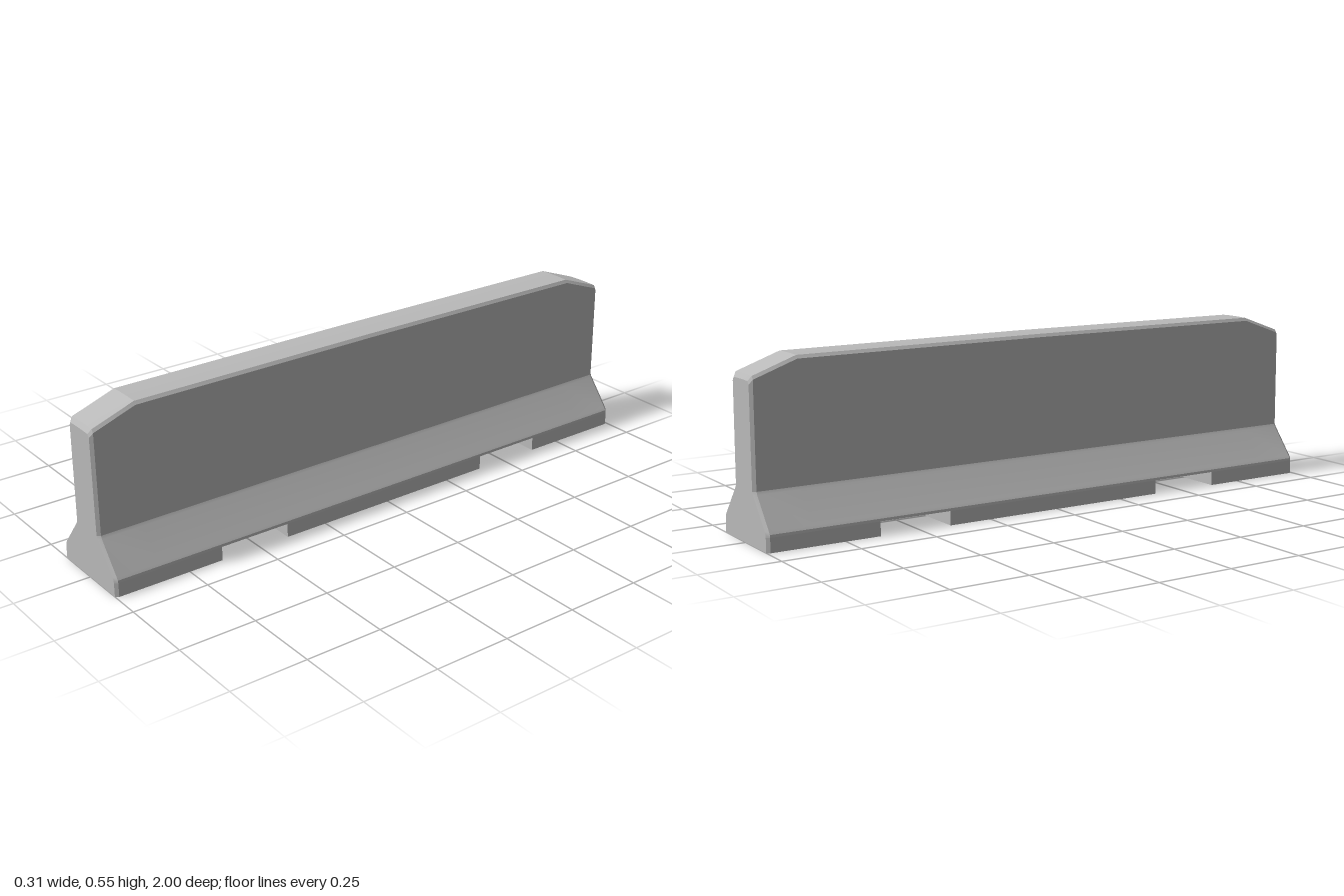
import * as THREE from 'three';
import { toCreasedNormals } from 'three/addons/utils/BufferGeometryUtils.js';

const FOOT = 0.045; // height of the drainage slots

// Mirrors a right-hand half outline (bottom to top) into a closed one, counter-clockwise
function mirrored(half) {
  return [...half, ...half.map(([x, y]) => [-x, y]).reverse()];
}

// Skins closed outlines placed along z (back to front) and caps both ends
function loft(stations) {
  const n = stations[0].points.length;
  const positions = [];
  const index = [];
  for (const { z, points } of stations) for (const [x, y] of points) positions.push(x, y, z);
  for (let i = 0; i < stations.length - 1; i++) {
    for (let j = 0; j < n; j++) {
      const k = (j + 1) % n;
      const a = i * n + j, b = i * n + k, c = b + n, d = a + n;
      index.push(a, b, c, a, c, d);
    }
  }
  const cap = (s, offset, flip) => {
    const contour = stations[s].points.map(([x, y]) => new THREE.Vector2(x, y));
    for (const [a, b, c] of THREE.ShapeUtils.triangulateShape(contour, [])) {
      if (flip) index.push(offset + a, offset + c, offset + b);
      else index.push(offset + a, offset + b, offset + c);
    }
  };
  cap(0, 0, true);
  cap(stations.length - 1, (stations.length - 1) * n, false);
  const geometry = new THREE.BufferGeometry();
  geometry.setAttribute('position', new THREE.Float32BufferAttribute(positions, 3));
  geometry.setIndex(index);
  return toCreasedNormals(geometry, 0.32);
}

// Barrier outline: flared skirt, upright wall, bevelled top
function wallSection(z, top, inset) {
  const half = [
    [0.1525, FOOT], [0.151, 0.053], [0.146, 0.061],
    [0.071, 0.154], [0.0665, 0.163],
    [0.0645, top - 0.011], [0.057, top - 0.001],
  ].map(([x, y]) => [x - inset, y]);
  half.push([0.02, top]);
  return { z, points: mirrored(half) };
}

function footSection(z, inset) {
  return { z, points: mirrored([[0.153 - inset, 0], [0.1525 - inset, FOOT]]) };
}

export function createModel() {
  const concrete = new THREE.MeshStandardMaterial({ color: 0xbababa });
  concrete.name = 'concrete grey';
  const group = new THREE.Group();
  group.name = 'concreteBarrier';
  const add = (name, geometry) => {
    const mesh = new THREE.Mesh(geometry, concrete);
    mesh.name = name;
    group.add(mesh);
  };

  // Wall with sloped top corners and bevelled ends
  add('wall', loft([
    wallSection(-1, 0.485, 0.008),
    wallSection(-0.99, 0.5, 0),
    wallSection(-0.85, 0.55, 0),
    wallSection(0, 0.553, 0),
    wallSection(0.85, 0.55, 0),
    wallSection(0.99, 0.5, 0),
    wallSection(1, 0.485, 0.008),
  ]));

  // Three feet, leaving two slots underneath
  add('middleFoot', loft([footSection(-0.395, 0), footSection(0.395, 0)]));
  add('frontFoot', loft([footSection(0.635, 0), footSection(0.99, 0), footSection(1, 0.008)]));
  add('backFoot', loft([footSection(-1, 0.008), footSection(-0.99, 0), footSection(-0.635, 0)]));

  return group;
}
